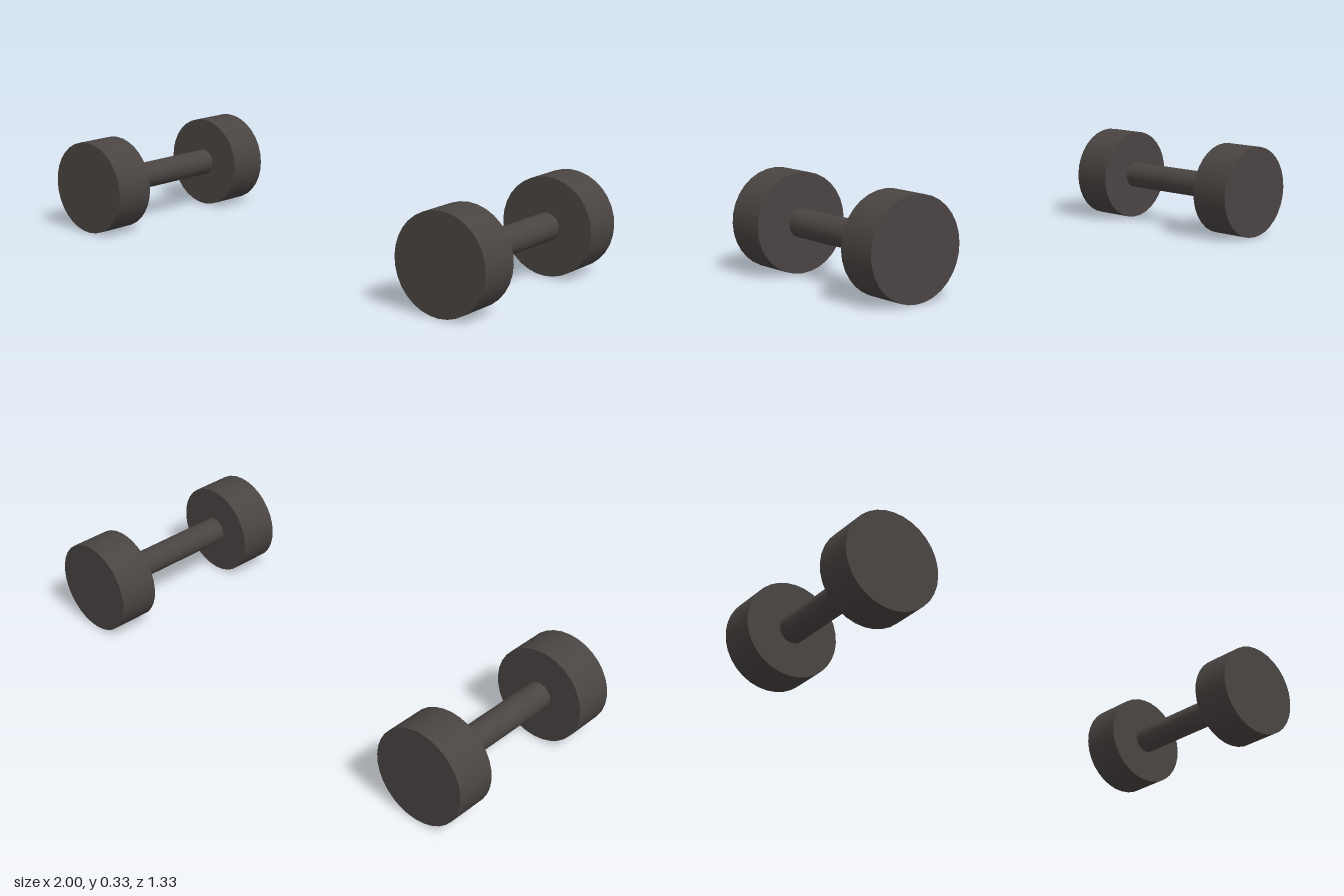
import * as THREE from 'three';

const RADIUS = 0.164, WEIGHT_LENGTH = 0.145, WEIGHT_OFFSET = 0.293;
const BAR_RADIUS = 0.047;

export function createModel() {
  const iron = new THREE.MeshStandardMaterial({ color: 0x4a4543 });
  iron.name = 'darkIron';

  // Cylinders lying along z
  const weightGeometry = new THREE.CylinderGeometry(RADIUS, RADIUS, WEIGHT_LENGTH, 32).rotateX(Math.PI / 2);
  const barGeometry = new THREE.CylinderGeometry(BAR_RADIUS, BAR_RADIUS, WEIGHT_OFFSET * 2, 32).rotateX(Math.PI / 2);

  function addPart(parent, name, geometry, z = 0) {
    const mesh = new THREE.Mesh(geometry, iron);
    mesh.name = name;
    mesh.position.z = z;
    parent.add(mesh);
  }

  // One dumbbell: handle bar with a weight at each end
  function dumbbell(name, x, z) {
    const group = new THREE.Group();
    group.name = name;
    addPart(group, 'handleBar', barGeometry);
    addPart(group, 'frontWeight', weightGeometry, WEIGHT_OFFSET);
    addPart(group, 'backWeight', weightGeometry, -WEIGHT_OFFSET);
    group.position.set(x, RADIUS, z);
    group.rotation.y = THREE.MathUtils.degToRad(-20);
    return group;
  }

  // Parallel, staggered pair
  const model = new THREE.Group();
  model.name = 'dumbbellPair';
  model.add(dumbbell('leftDumbbell', 0.72, 0.265), dumbbell('rightDumbbell', -0.72, -0.265));
  return model;
}
